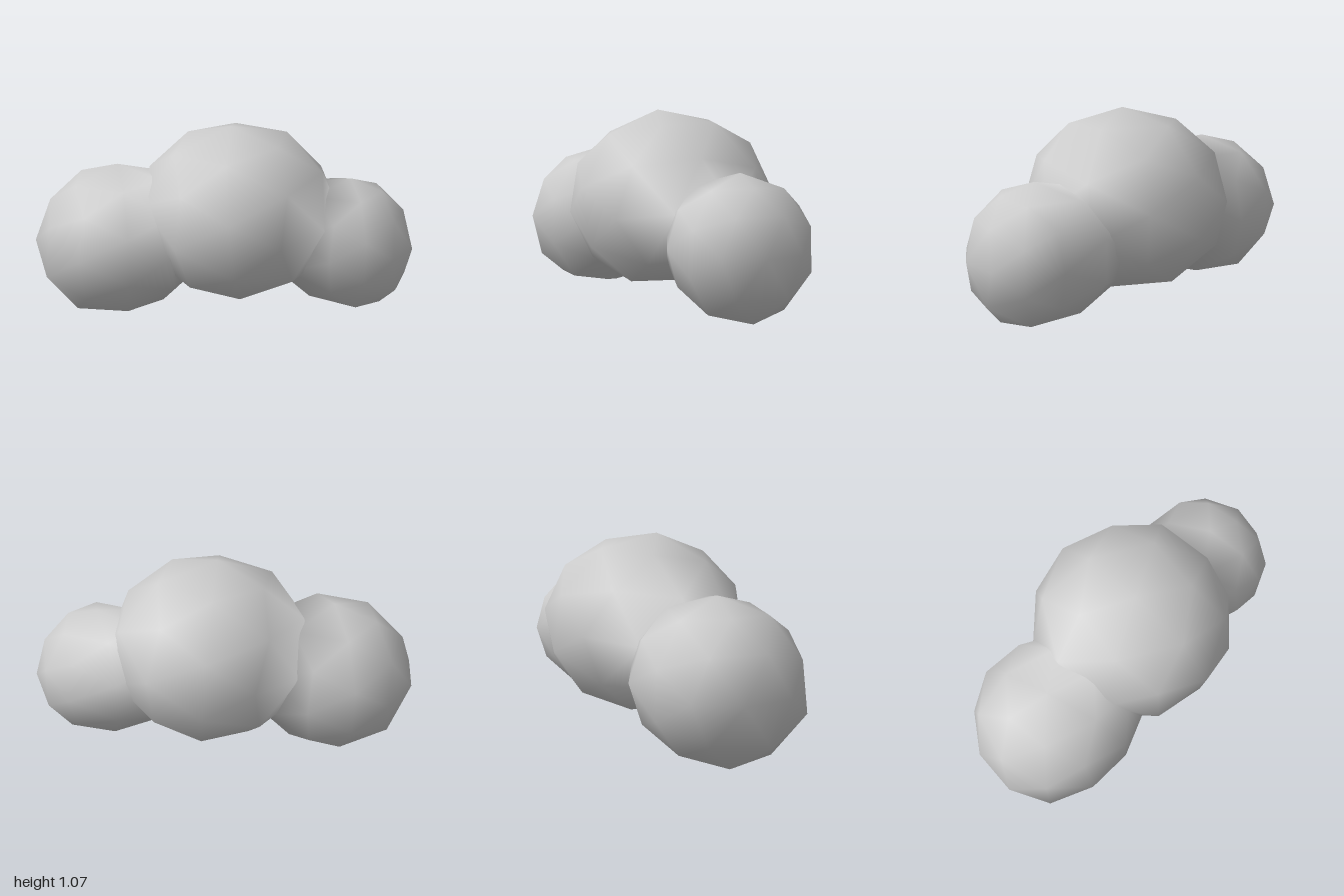
import * as THREE from 'three';
import { mergeVertices } from 'three/addons/utils/BufferGeometryUtils.js';

// The puffs of the cloud: centre c, radii r in y and z, and radii in x towards -x and +x.
// Turn rotates the facets about x and y, swell is a direction in which the puff bulges,
// floor is the lowest level and its slope along x.
const lobes = [
  { name: 'middlePuff', c: [0.07, 0.575, -0.065], r: [0.5, 0.56], rx: [0.57, 0.56],
    turn: [0.13, -0.245], swell: [0, 0, 0], floor: [0.12, 0.2] },
  { name: 'rightPuff', c: [-0.555, 0.42, 0.17], r: [0.42, 0.448], rx: [0.445, 0.5],
    turn: [0, 0], swell: [-0.6, -0.65, 0.46], floor: [0, 0] },
  { name: 'leftPuff', c: [0.66, 0.42, -0.245], r: [0.36, 0.37], rx: [0.5, 0.342],
    turn: [0, 0], swell: [0.74, -0.67, 0], floor: [0.075, 0] },
];

// Radii of a lobe on the given side of its centre
const radii = ({ r, rx }, x) => new THREE.Vector3(x < 0 ? rx[0] : rx[1], ...r);

// Position relative to a lobe, where length 1 is its surface
function localPoint(lobe, p) {
  const q = p.clone().sub(new THREE.Vector3(...lobe.c));
  return q.divide(radii(lobe, q.x));
}

// Normal of the softly blended lobes, so the shading flows across the seams
function blendedNormal(p) {
  const n = new THREE.Vector3();
  for (const lobe of lobes) {
    const q = localPoint(lobe, p);
    const weight = Math.exp(-7 * (q.length() - 1));
    n.addScaledVector(q.divide(radii(lobe, q.x)).normalize(), weight);
  }
  return n.normalize();
}

// Low-poly ball shaped into a lobe, without the faces buried in its neighbours
function puffGeometry(lobe) {
  let g = new THREE.IcosahedronGeometry(1, 1);
  g.deleteAttribute('uv');
  g.deleteAttribute('normal');
  g = mergeVertices(g, 1e-4);
  g.rotateX(lobe.turn[0]).rotateY(lobe.turn[1]);
  const pos = g.attributes.position;
  const normals = new Float32Array(pos.count * 3);
  const centre = new THREE.Vector3(...lobe.c);
  const swell = new THREE.Vector3(...lobe.swell);
  const others = lobes.filter((other) => other !== lobe);
  const buriedIn = [];
  const p = new THREE.Vector3();
  for (let i = 0; i < pos.count; i++) {
    p.fromBufferAttribute(pos, i);
    const bulge = 1 + 0.14 * Math.max(0, p.dot(swell)) ** 3;
    p.multiply(radii(lobe, p.x)).multiplyScalar(bulge).add(centre);
    blendedNormal(p).toArray(normals, i * 3);
    p.y = Math.max(p.y, lobe.floor[0] + lobe.floor[1] * p.x);
    pos.setXYZ(i, p.x, p.y, p.z);
    buriedIn.push(others.map((other) => localPoint(other, p).length() < 0.82));
  }
  g.setAttribute('normal', new THREE.BufferAttribute(normals, 3));

  const visible = [];
  for (let i = 0; i < g.index.count; i += 3) {
    const face = [0, 1, 2].map((k) => g.index.getX(i + k));
    if (!others.some((_, o) => face.every((v) => buriedIn[v][o]))) visible.push(...face);
  }
  g.setIndex(visible);
  return g;
}

export function createModel() {
  const cloud = new THREE.Group();
  cloud.name = 'cloud';
  const material = new THREE.MeshStandardMaterial({ color: 0xcccccc });
  for (const lobe of lobes) {
    const mesh = new THREE.Mesh(puffGeometry(lobe), material);
    mesh.name = lobe.name;
    cloud.add(mesh);
  }
  return cloud;
}
